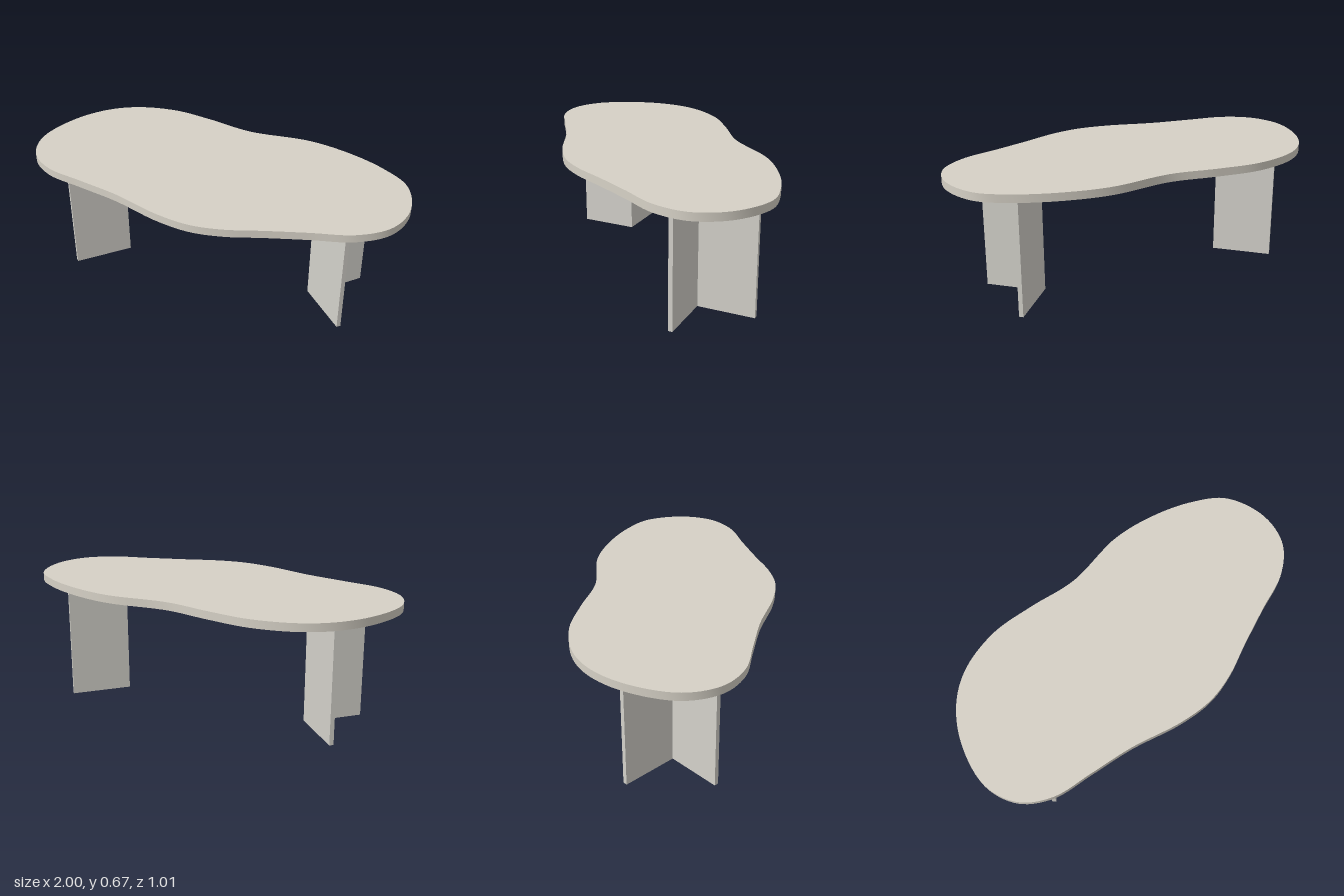
import * as THREE from 'three';
import { toCreasedNormals } from 'three/addons/utils/BufferGeometryUtils.js';

const LEG_HEIGHT = 0.626;
const TOP_THICKNESS = 0.041;

// Extrudes an outline given as [x, z] upwards from height y
function slab(points, y, height) {
  const shape = new THREE.Shape(points.map(([x, z]) => new THREE.Vector2(x, -z)));
  const geometry = new THREE.ExtrudeGeometry(shape, { depth: height, bevelEnabled: false });
  geometry.rotateX(-Math.PI / 2);
  geometry.translate(0, y, 0);
  return toCreasedNormals(geometry, 0.6);
}

export function createModel() {
  const group = new THREE.Group();
  group.name = 'table';
  const topMaterial = new THREE.MeshStandardMaterial({ color: 0xd6d1c6 });
  topMaterial.name = 'warm stone';
  const legMaterial = new THREE.MeshStandardMaterial({ color: 0xd4d2cb });
  legMaterial.name = 'pale stone';

  // Free-form tabletop: smooth closed curve through a few points
  const outline = [
    [-1, 0.03], [-0.94, -0.2], [-0.82, -0.37], [-0.67, -0.467], [-0.45, -0.51],
    [-0.22, -0.482], [0.03, -0.434], [0.36, -0.455], [0.6, -0.405], [0.8, -0.317],
    [0.94, -0.205], [1, 0], [0.95, 0.18], [0.81, 0.295], [0.6, 0.358],
    [0.4, 0.42], [0.22, 0.48], [0.06, 0.503], [-0.12, 0.478], [-0.38, 0.396],
    [-0.6, 0.35], [-0.81, 0.303], [-0.945, 0.2],
  ];
  const curve = new THREE.CatmullRomCurve3(
    outline.map(([x, z]) => new THREE.Vector3(x, 0, z)), true, 'centripetal');
  const edge = curve.getPoints(160).slice(0, -1).map((p) => [p.x, p.z]);
  const top = new THREE.Mesh(slab(edge, LEG_HEIGHT, TOP_THICKNESS), topMaterial);
  top.name = 'tabletop';
  group.add(top);

  // V-shaped legs: two upright plates joined at the inner edge, opening outwards
  const legOutline = [
    [0.521, -0.021], [0.743, 0.201], [0.759, 0.185],
    [0.552, -0.02], [0.76, -0.235], [0.744, -0.251],
  ];
  const mirrored = legOutline.map(([x, z]) => [-x - 0.019, z]);
  [['leftLeg', legOutline], ['rightLeg', mirrored]].forEach(([name, points]) => {
    const leg = new THREE.Mesh(slab(points, 0, LEG_HEIGHT), legMaterial);
    leg.name = name;
    group.add(leg);
  });

  return group;
}
